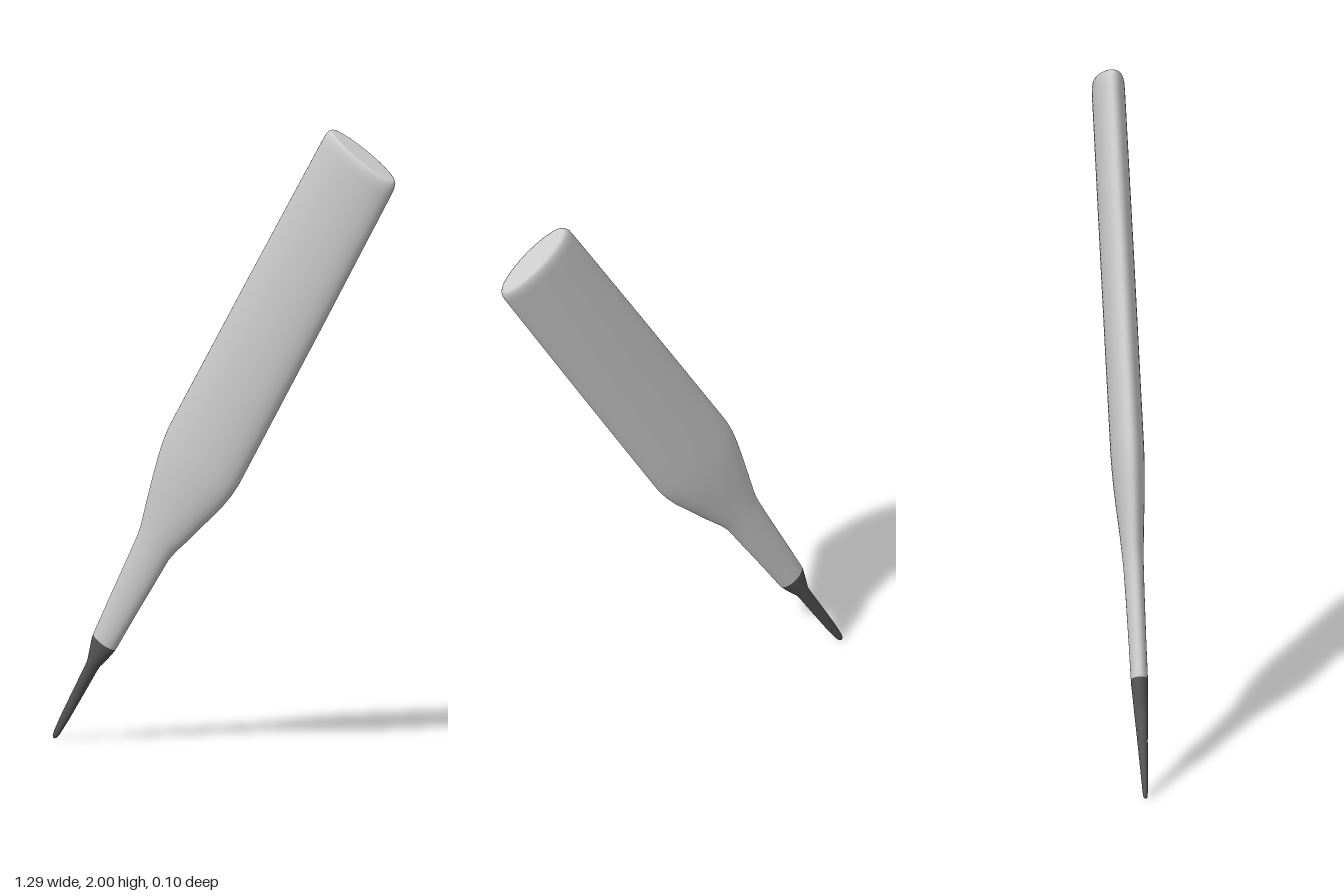
import * as THREE from 'three';

const SIDES = 48;

// Loft of elliptical rings along y; each station is [y, half width x, half depth z, x offset].
// Both ends are closed with separate flat discs so the rims stay crisp.
function loft(stations, color) {
  const pos = [], index = [];
  const ring = ([y, w, d, off = 0]) => {
    for (let i = 0; i < SIDES; i++) {
      const a = (i / SIDES) * Math.PI * 2;
      pos.push(off + w * Math.cos(a), y, d * Math.sin(a));
    }
  };
  stations.forEach(ring);
  for (let r = 0; r < stations.length - 1; r++) {
    for (let i = 0; i < SIDES; i++) {
      const a = r * SIDES + i, b = r * SIDES + (i + 1) % SIDES;
      index.push(a, a + SIDES, b, b, a + SIDES, b + SIDES);
    }
  }
  for (const [station, top] of [[stations[0], false], [stations.at(-1), true]]) {
    const start = pos.length / 3;
    ring(station);
    pos.push(station[3] ?? 0, station[0], 0);
    for (let i = 0; i < SIDES; i++) {
      const a = start + i, b = start + (i + 1) % SIDES, c = start + SIDES;
      if (top) index.push(a, c, b);
      else index.push(a, b, c);
    }
  }
  const geometry = new THREE.BufferGeometry();
  geometry.setAttribute('position', new THREE.Float32BufferAttribute(pos, 3));
  geometry.setIndex(index);
  geometry.computeVertexNormals();
  return new THREE.Mesh(geometry, new THREE.MeshStandardMaterial({ color }));
}

export function createModel() {
  const model = new THREE.Group();
  model.name = 'paddleTool';

  // Flattened handle: slim neck, flared shoulder, long grip, softly rounded end
  const handle = loft([
    [0.372, 0.045, 0.026, -0.002],
    [0.50, 0.052, 0.027, -0.004],
    [0.64, 0.060, 0.029, -0.005],
    [0.73, 0.065, 0.031, -0.006],
    [0.77, 0.073, 0.033, -0.005],
    [0.84, 0.094, 0.037, -0.003],
    [0.92, 0.116, 0.043, -0.002],
    [0.99, 0.135, 0.047],
    [1.04, 0.145, 0.049],
    [1.09, 0.150, 0.050],
    [1.20, 0.150, 0.050],
    [1.70, 0.149, 0.050],
    [2.21, 0.146, 0.049],
    [2.232, 0.145, 0.048],
    [2.246, 0.141, 0.045],
    [2.253, 0.135, 0.041],
    [2.255, 0.128, 0.037],
  ], 0xcccccc);
  handle.name = 'handle';

  // Dark point: collar narrowing quickly into a thin blade with a rounded tip
  const tip = loft([
    [0.0, 0.003, 0.003],
    [0.004, 0.007, 0.006],
    [0.02, 0.011, 0.008],
    [0.08, 0.015, 0.011],
    [0.18, 0.018, 0.016],
    [0.27, 0.020, 0.021],
    [0.29, 0.022, 0.022],
    [0.33, 0.035, 0.024, -0.001],
    [0.36, 0.043, 0.026, -0.002],
    [0.373, 0.045, 0.026, -0.002],
  ], 0x555555);
  tip.name = 'tip';

  // Lean the whole tool to its left
  model.add(handle, tip);
  model.rotation.set(0.003, 0, -0.543);
  model.position.set(-0.638, 0.003, -0.006);
  const group = new THREE.Group();
  group.name = 'tool';
  group.add(model);
  return group;
}
